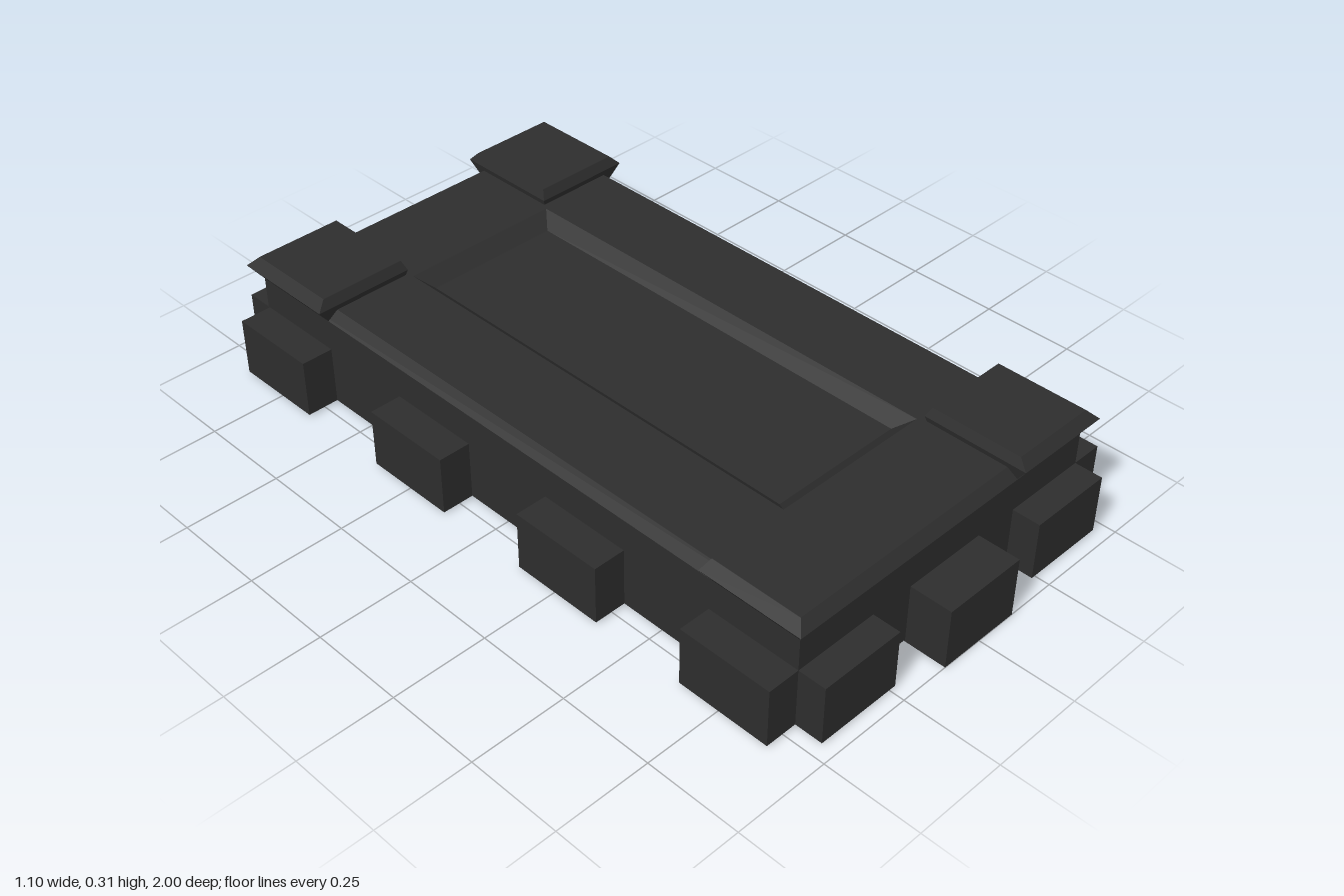
import * as THREE from 'three';

const material = new THREE.MeshStandardMaterial({ color: 0x2d2d2d, flatShading: true });

// Closed loft through rectangles [y, xMin, xMax, zMin, zMax], listed from the bottom up
function loft(rings) {
  const points = [];
  const index = [];
  for (const [y, x0, x1, z0, z1] of rings) {
    points.push(x0, y, z1, x1, y, z1, x1, y, z0, x0, y, z0);
  }
  for (let r = 0; r < rings.length - 1; r++) {
    for (let i = 0; i < 4; i++) {
      const a = r * 4 + i;
      const b = r * 4 + (i + 1) % 4;
      index.push(a, b, b + 4, a, b + 4, a + 4);
    }
  }
  const t = (rings.length - 1) * 4;
  index.push(0, 2, 1, 0, 3, 2, t, t + 1, t + 2, t, t + 2, t + 3);
  const indexed = new THREE.BufferGeometry();
  indexed.setAttribute('position', new THREE.Float32BufferAttribute(points, 3));
  indexed.setIndex(index);
  const geometry = indexed.toNonIndexed();
  geometry.computeVertexNormals();
  return geometry;
}

export function createModel() {
  const group = new THREE.Group();
  const add = (name, geometry) => {
    const mesh = new THREE.Mesh(geometry, material);
    mesh.name = name;
    group.add(mesh);
  };
  const block = (name, x0, x1, y0, y1, z0, z1) => {
    const geometry = new THREE.BoxGeometry(x1 - x0, y1 - y0, z1 - z0);
    geometry.translate((x0 + x1) / 2, (y0 + y1) / 2, (z0 + z1) / 2);
    add(name, geometry);
  };

  // Body with a chamfered top edge and a shallow sloped recess
  add('body', loft([
    [0.005, -0.465, 0.465, -0.89, 0.89],
    [0.245, -0.465, 0.465, -0.89, 0.89],
    [0.27, -0.44, 0.44, -0.865, 0.865],
    [0.27, -0.22, 0.22, -0.61, 0.62],
    [0.238, -0.185, 0.185, -0.568, 0.578],
  ]));

  // Flared caps on the four corners
  const capRings = [
    // y, inner x, outer x, inner z, outer z
    [0.245, 0.237, 0.465, 0.64, 0.888],
    [0.285, 0.225, 0.495, 0.63, 0.916],
    [0.31, 0.235, 0.47, 0.643, 0.892],
  ];
  for (const sx of [-1, 1]) {
    for (const sz of [-1, 1]) {
      add('cornerCap', loft(capRings.map(([y, xi, xo, zi, zo]) => [
        y,
        sx > 0 ? xi : -xo, sx > 0 ? xo : -xi,
        sz > 0 ? zi + 0.007 : -zo, sz > 0 ? zo : -zi + 0.007,
      ])));
    }
  }

  // Blocks along the long sides
  for (const s of [-1, 1]) {
    for (const z of [-0.76, -0.248, 0.262, 0.765]) {
      block('sideBlock', Math.min(s * 0.45, s * 0.55), Math.max(s * 0.45, s * 0.55),
        0.005, 0.16, z - 0.125, z + 0.125);
    }
  }

  // Blocks along the front and back
  for (const s of [-1, 1]) {
    for (const [x, reach, y0] of [[-0.35, 0.963, 0.005], [0, 1, 0], [0.35, 0.963, 0.005]]) {
      block('endBlock', x - 0.115, x + 0.115, y0, 0.16,
        Math.min(s * 0.87, s * reach), Math.max(s * 0.87, s * reach));
    }
  }
  return group;
}
